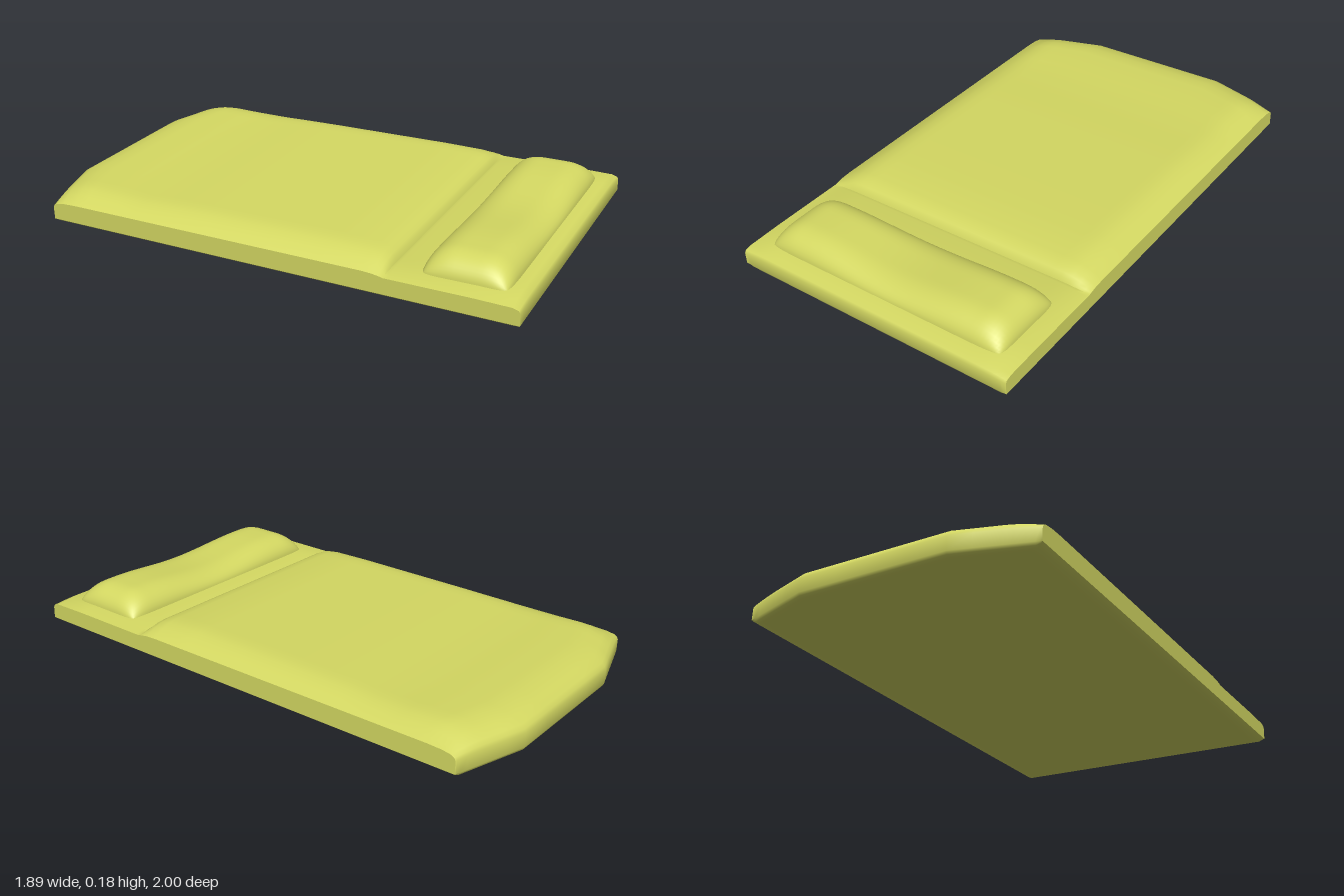
import * as THREE from 'three';
import { toCreasedNormals } from 'three/addons/utils/BufferGeometryUtils.js';

const W = 0.535; // half width of the bed
const half = [0.13, 0.27, 0.34, 0.39, 0.425, 0.46, 0.49, 0.515, 0.529, W];
const XS = [...half.map(x => -x).reverse(), 0, ...half];

// Mattress with the tucked blanket: cross-sections from head (+z) to foot (-z)
// [z, bottom height, crown height, edge height]
const STATIONS = [
  [0.85, 0.014, 0.058, 0.055], [0.845, 0.004, 0.07, 0.064], [0.825, 0, 0.08, 0.07],
  [0.7, 0, 0.083, 0.072], [0.425, 0, 0.08, 0.071], [0.412, 0, 0.076, 0.071],
  [0.405, 0, 0.09, 0.073], [0.395, 0, 0.1, 0.075], [0.375, 0, 0.109, 0.078],
  [0.34, 0, 0.116, 0.08], [0.2, 0, 0.12, 0.08], [0, 0, 0.119, 0.08],
  [-0.25, 0, 0.118, 0.08], [-0.42, 0, 0.115, 0.08], [-0.52, 0, 0.11, 0.08],
  [-0.62, 0, 0.113, 0.08], [-0.72, 0, 0.118, 0.08], [-0.76, 0, 0.115, 0.08],
  [-0.81, 0, 0.102, 0.078], [-0.84, 0, 0.086, 0.073], [-0.851, 0.004, 0.074, 0.067],
  [-0.856, 0.014, 0.062, 0.058],
];

function bedGeometry() {
  const pos = [], idx = [], n = XS.length, ring = 2 * n;
  for (const [z, low, crown, edge] of STATIONS) {
    // the foot end bulges outward in three facets
    const foot = THREE.MathUtils.smoothstep(-z, 0.45, 0.8);
    const place = x => z - 0.078 * foot * Math.min(1, (W - Math.abs(x)) / 0.265);
    for (const x of XS) {
      const t = Math.min(1, (W - Math.abs(x)) / 0.11);
      pos.push(x, edge + (crown - edge) * Math.sin(t * Math.PI / 2), place(x));
    }
    for (const x of [...XS].reverse()) {
      const d = W - Math.abs(x);
      pos.push(x, Math.max(low, 0.014 * Math.max(0, 1 - d / 0.018)), place(x));
    }
  }
  for (let s = 0; s < STATIONS.length - 1; s++) {
    for (let i = 0; i < ring; i++) {
      const a = s * ring + i, b = s * ring + (i + 1) % ring;
      idx.push(a, b, b + ring, a, b + ring, a + ring);
    }
  }
  // end caps
  const last = (STATIONS.length - 1) * ring;
  for (let i = 0; i < n - 1; i++) {
    const t0 = i, t1 = i + 1, b0 = ring - 1 - i, b1 = ring - 2 - i;
    idx.push(t0, b0, b1, t0, b1, t1);
    idx.push(last + t0, last + b1, last + b0, last + t0, last + t1, last + b1);
  }
  const geo = new THREE.BufferGeometry();
  geo.setAttribute('position', new THREE.Float32BufferAttribute(pos, 3));
  geo.setIndex(idx);
  geo.computeVertexNormals();
  return toCreasedNormals(geo, 0.8);
}

// Pillow: a cushion dome, dipped in the middle
function pillowGeometry() {
  const hx = 0.472, hz = 0.145;
  const geo = new THREE.PlaneGeometry(2, 2, 48, 24).rotateX(-Math.PI / 2);
  const p = geo.attributes.position;
  const rise = d => { const t = Math.min(1, d / 0.1); return Math.sqrt(Math.max(0, 1 - (1 - t) ** 2)); };
  for (let i = 0; i < p.count; i++) {
    // samples crowd toward the rim
    const u = Math.sin(p.getX(i) * Math.PI / 2), v = Math.sin(p.getZ(i) * Math.PI / 2);
    const x = u * hx * (1 - 0.02 * v ** 8), z = v * hz * (1 - 0.06 * u ** 16);
    const lobes = 0.055 + 0.02 * Math.sin(Math.min(1, Math.abs(x) / 0.33) * Math.PI / 2) ** 2;
    const dome = rise(hx * (1 - Math.abs(u))) * rise(hz * (1 - Math.abs(v)));
    p.setXYZ(i, x, 0.075 + lobes * dome, z);
  }
  geo.computeVertexNormals();
  return geo;
}

export function createModel() {
  const model = new THREE.Group();
  model.name = 'bed';
  const material = new THREE.MeshStandardMaterial({ color: 0xd4d862 });

  // the bed lies turned on the ground with one long side slightly raised
  const tilt = new THREE.Group();
  tilt.name = 'bedding';
  tilt.rotation.z = Math.atan(0.04 / 1.07);
  tilt.position.y = 0.0195;
  const turn = new THREE.Group();
  turn.name = 'turnedBed';
  turn.rotation.y = THREE.MathUtils.degToRad(38);
  turn.add(tilt);
  model.add(turn);

  const mattress = new THREE.Mesh(bedGeometry(), material);
  mattress.name = 'mattressAndBlanket';
  const pillow = new THREE.Mesh(pillowGeometry(), material);
  pillow.name = 'pillow';
  pillow.position.z = 0.648;
  tilt.add(mattress, pillow);
  return model;
}
